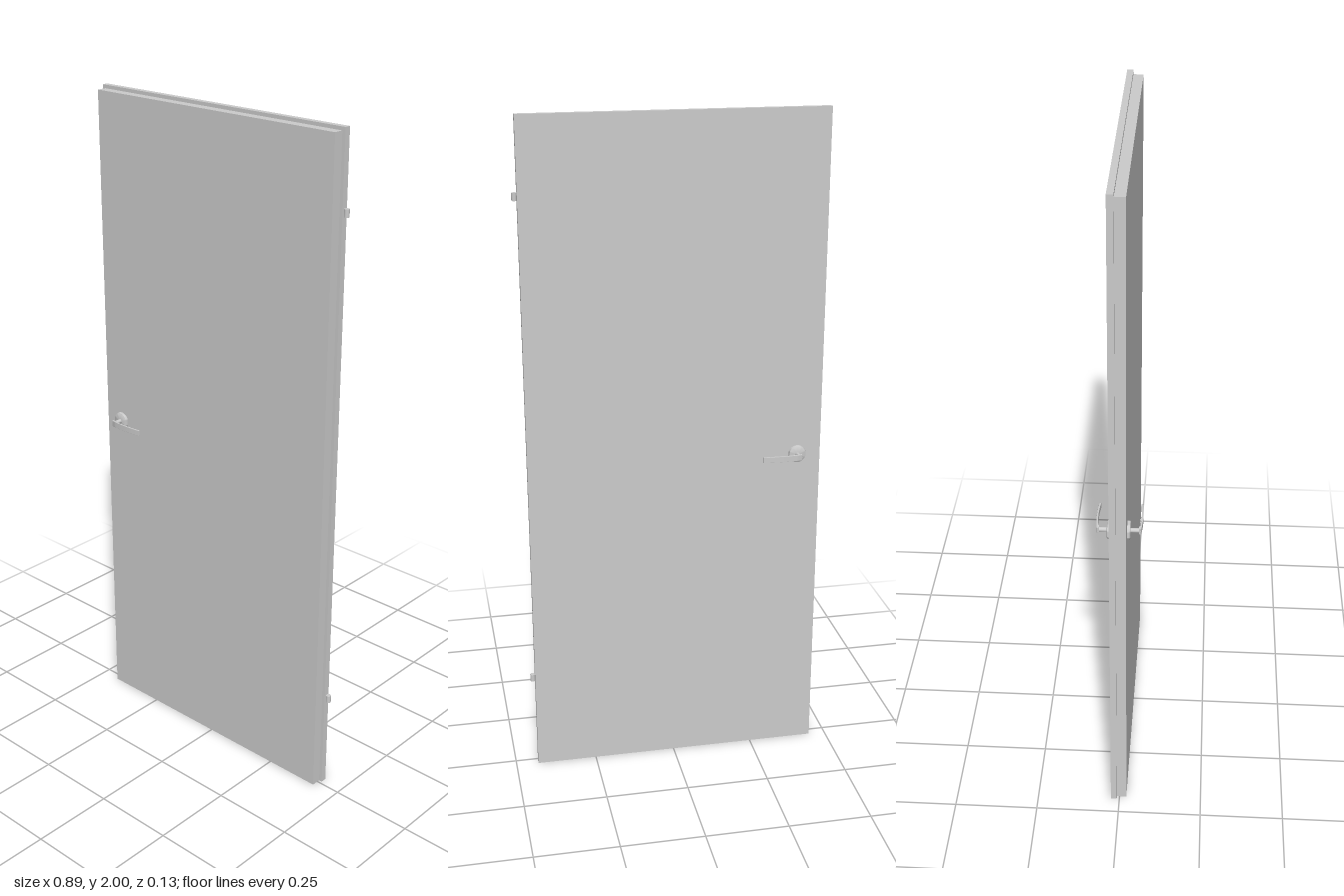
import * as THREE from 'three';
import { toCreasedNormals } from 'three/addons/utils/BufferGeometryUtils.js';

const material = new THREE.MeshStandardMaterial({ color: 0xcccccc });

function addMesh(parent, name, geometry, x = 0, y = 0, z = 0) {
  const mesh = new THREE.Mesh(geometry, material);
  mesh.name = name;
  mesh.position.set(x, y, z);
  parent.add(mesh);
  return mesh;
}

// Lever handle, with the middle of the door at z = 0 and the door face at z = 0.0235
function createHandle(name) {
  const handle = new THREE.Group();
  handle.name = name;

  // Round rose with a softened rim
  const profile = [[0, 0.022], [0.0265, 0.022], [0.0265, 0.0275], [0.0255, 0.031], [0.023, 0.0325], [0, 0.0325]];
  const rose = new THREE.LatheGeometry(profile.map(([r, h]) => new THREE.Vector2(r, h)), 40);
  addMesh(handle, 'rose', toCreasedNormals(rose.rotateX(Math.PI / 2), 0.7));

  // Spindle
  const spindle = new THREE.CylinderGeometry(0.0065, 0.0065, 0.03, 24).rotateX(Math.PI / 2);
  addMesh(handle, 'spindle', spindle, 0, 0, 0.0455);

  // Gently bowed grip, drawn in plan and extruded vertically
  const plan = new THREE.Shape();
  plan.moveTo(-0.0065, 0.055);
  plan.lineTo(-0.0065, 0.058);
  plan.quadraticCurveTo(-0.0065, 0.0615, -0.002, 0.062);
  plan.quadraticCurveTo(0.055, 0.0685, 0.112, 0.0615);
  plan.lineTo(0.112, 0.0565);
  plan.quadraticCurveTo(0.055, 0.0635, 0.0065, 0.0575);
  plan.lineTo(0.0065, 0.055);
  plan.closePath();
  const height = 0.018, bevel = 0.001;
  const grip = new THREE.ExtrudeGeometry(plan, {
    depth: height - 2 * bevel, curveSegments: 16,
    bevelThickness: bevel, bevelSize: bevel, bevelOffset: -bevel, bevelSegments: 2,
  });
  grip.translate(0, 0, bevel - height / 2).rotateX(Math.PI / 2);
  addMesh(handle, 'grip', toCreasedNormals(grip, 0.6));
  return handle;
}

export function createModel() {
  const door = new THREE.Group();
  door.name = 'door';

  // Rebated door leaf: wider back panel, slightly smaller front panel
  addMesh(door, 'backPanel', new THREE.BoxGeometry(0.88, 2, 0.018), -0.008, 1, -0.017);
  addMesh(door, 'frontPanel', new THREE.BoxGeometry(0.86, 1.99, 0.029), -0.008, 0.995, 0.0065);

  // Handles on both faces
  const front = createHandle('frontHandle');
  front.position.set(-0.377, 0.98, -0.0025);
  const back = createHandle('backHandle');
  back.position.copy(front.position);
  back.rotation.x = Math.PI;
  door.add(front, back);

  // Hinge knuckles with a short leaf into the door edge
  for (const [name, y] of [['lowerHinge', 0.302], ['upperHinge', 1.78]]) {
    const hinge = new THREE.Group();
    hinge.name = name;
    hinge.position.set(0.439, y, -0.017);
    addMesh(hinge, 'knuckle', new THREE.CylinderGeometry(0.0075, 0.0075, 0.022, 24));
    addMesh(hinge, 'hingeLeaf', new THREE.BoxGeometry(0.012, 0.02, 0.003), -0.007, 0, 0);
    door.add(hinge);
  }
  return door;
}
